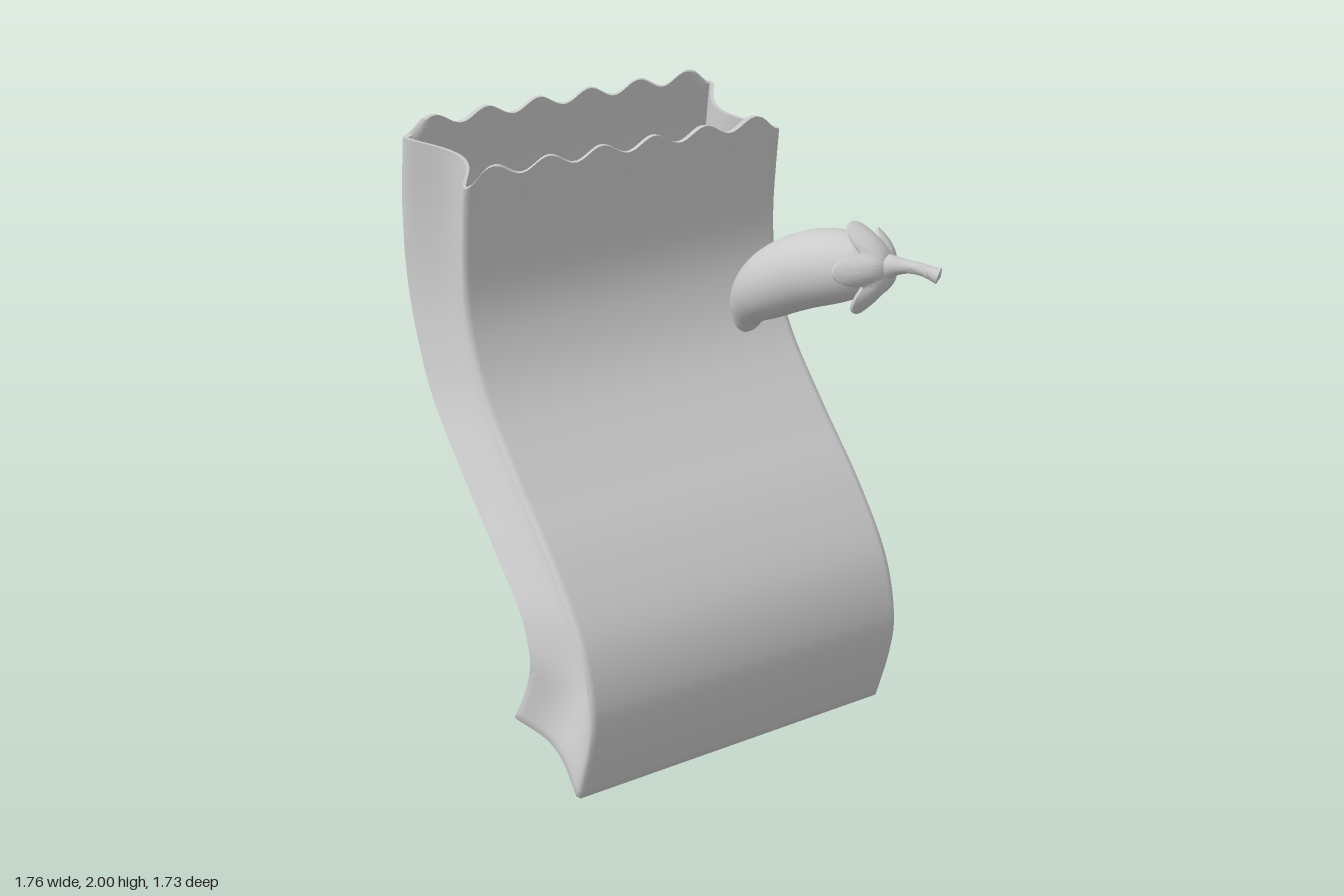
import * as THREE from 'three';
import { toCreasedNormals } from 'three/addons/utils/BufferGeometryUtils.js';

const V3 = (x, y, z) => new THREE.Vector3(x, y, z);
const spline2 = (pts) => new THREE.SplineCurve(pts.map(([x, y]) => new THREE.Vector2(x, y)));
const { smoothstep, clamp } = THREE.MathUtils;

// Skin over closed rings of equal size; rings run counterclockwise about the direction of travel
function skin(rings) {
  const n = rings[0].length, index = [];
  for (let r = 0; r < rings.length - 1; r++) {
    for (let c = 0; c < n; c++) {
      const a = r * n + c, b = r * n + (c + 1) % n;
      index.push(a, b, b + n, a, b + n, a + n);
    }
  }
  const geo = new THREE.BufferGeometry().setFromPoints(rings.flat());
  geo.setIndex(index);
  geo.computeVertexNormals();
  return geo;
}

// Round tube of varying radius along a curve
function sweep(points, radiusAt, steps, sides) {
  const curve = new THREE.CatmullRomCurve3(points);
  const { normals, binormals } = curve.computeFrenetFrames(steps);
  const rings = [];
  for (let i = 0; i <= steps; i++) {
    const p = curve.getPointAt(i / steps), r = Math.max(radiusAt(i / steps), 1e-4);
    rings.push(Array.from({ length: sides }, (_, j) => {
      const a = (j / sides) * Math.PI * 2;
      return p.clone().addScaledVector(normals[i], r * Math.cos(a)).addScaledVector(binormals[i], r * Math.sin(a));
    }));
  }
  return skin(rings);
}

// Bag side profiles from bottom to top: depth, height
const frontProfile = spline2([[0.487, 0.008], [0.545, 0.22], [0.556, 0.38], [0.487, 0.58], [0.324, 0.78],
  [0.109, 0.98], [-0.088, 1.18], [-0.196, 1.38], [-0.231, 1.58], [-0.22, 1.868]]);
const backProfile = spline2([[0.072, 0.1], [0.13, 0.21], [0.172, 0.33], [0.17, 0.41], [0.109, 0.53], [-0.051, 0.68],
  [-0.25, 0.86], [-0.45, 1.06], [-0.546, 1.23], [-0.615, 1.43], [-0.642, 1.68], [-0.628, 1.92]]);

// Turn bag coordinates (depth, height, across) to the model's, with a slight sideways lean
function place(s, y, t) {
  const lean = t + 0.032 * (y - 1.9) - 0.002;
  return V3(0.771 * s + 0.637 * lean, y - 0.032 * t, 0.637 * s - 0.771 * lean);
}

// One ring of the bag at height fraction v, pulled in by inset; squash 1 flattens it to the middle line
function bagRing(v, inset, squash = 0) {
  const f = frontProfile.getPointAt(v), b = backProfile.getPointAt(v);
  const half = 0.611 - inset, ring = [];
  const rim = smoothstep(v, 0.93, 1);
  const fold = 0.035 + 0.07 * smoothstep(v, 0, 0.2);
  const arch = 0.025 * (1 - smoothstep(v, 0, 0.08));
  // Point at depth fraction d, kept inside the folded sides
  const addPoint = (d, t, lift) => {
    const k = 0.5 + (d - 0.5) * (1 - inset / 0.21) * (1 - squash);
    const m = f.clone().lerp(b, k), bend = Math.sin(k * Math.PI), limit = half - fold * bend ** 1.3;
    ring.push(place(m.x, m.y + arch * bend + lift, clamp(t, -limit, limit)));
  };
  // Wide panel, scalloped at the rim and dipping at its ends
  const panel = (d, dir) => {
    for (let i = 0; i < 72; i++) {
      const k = i / 71, end = smoothstep(Math.min(k, 1 - k), 0, 0.06);
      const scallop = 0.018 * end + 0.02 * (1 - Math.cos(k * Math.PI * 12));
      addPoint(d, dir * (half - 0.01) * (2 * k - 1), rim * scallop);
    }
  };
  // Side folded inward, meeting the panels with a softened edge
  const gusset = (side) => {
    for (let i = 0; i < 16; i++) {
      const k = 0.025 + 0.95 * (i / 15);
      addPoint(side > 0 ? k : 1 - k, side * half, 0);
    }
  };
  panel(0, 1);
  gusset(1);
  panel(1, -1);
  gusset(-1);
  return ring;
}

function bagGeometry() {
  const steps = 64, outer = [], inner = [];
  for (let i = 0; i <= steps; i++) {
    const v = 0.008 + 0.992 * (i / steps);
    outer.push(bagRing(v, 0));
    inner.unshift(bagRing(v, 0.013));
  }
  // Arched floor, outside and inside
  const squashes = [0, 0.25, 0.5, 0.75, 1];
  const under = squashes.map((q) => bagRing(0, 0.012, q)).reverse();
  const floor = squashes.slice(1).map((q) => bagRing(0.01, 0.013, q));
  return toCreasedNormals(skin([...under, ...outer, ...inner, ...floor]), 1.1);
}

// Five-lobed cap with the lobes lying back along the fruit
function calyxGeometry(origin, axis) {
  const up = V3(0, 1, 0).addScaledVector(axis, -axis.y).normalize();
  const side = axis.clone().cross(up);
  const layer = (u, lift) => Array.from({ length: 100 }, (_, j) => {
    const a = (j / 100) * Math.PI * 2;
    const lobe = (0.5 + 0.5 * Math.cos(5 * (a - 0.17))) ** 0.6;
    const rho = 0.025 + (0.06 + 0.065 * lobe) * u + lift * 0.5;
    const drop = (0.055 + 0.055 * lobe) * u ** 1.7 - 0.025 - lift;
    return origin.clone().addScaledVector(axis, -drop)
      .addScaledVector(up, rho * Math.cos(a)).addScaledVector(side, rho * Math.sin(a));
  });
  const rings = [];
  for (let i = 0; i <= 10; i++) rings.push(layer(i / 10, 0));
  for (let i = 10; i >= 0; i--) rings.push(layer(i / 10, 0.01));
  return toCreasedNormals(skin(rings), 0.9);
}

export function createModel() {
  const model = new THREE.Group();
  const material = new THREE.MeshStandardMaterial({ color: 0xcccccc, side: THREE.DoubleSide });
  const add = (parent, name, geometry) => {
    const mesh = new THREE.Mesh(geometry, material);
    mesh.name = name;
    parent.add(mesh);
  };

  add(model, 'paperBag', bagGeometry());

  // Pepper floating beside the bag
  const pepper = new THREE.Group();
  pepper.name = 'pepper';
  model.add(pepper);

  const crown = V3(0.685, 1.622, -0.06);
  const radii = spline2([0.035, 0.053, 0.078, 0.1, 0.114, 0.121, 0.124, 0.124, 0.117, 0.1, 0.07].map((r, i) => [i / 10, r]));
  const dome = (d) => Math.sqrt(1 - (1 - Math.min(1, d)) ** 2);
  add(pepper, 'pepperBody', sweep(
    [V3(0.185, 1.25, -0.275), V3(0.23, 1.382, -0.222), V3(0.33, 1.49, -0.165), V3(0.45, 1.563, -0.122), V3(0.58, 1.603, -0.09), crown],
    (t) => radii.getPoint(t).y * dome(t / 0.08) * dome((1 - t) / 0.08), 60, 32));

  add(pepper, 'calyx', calyxGeometry(crown, V3(0.9, 0.19, 0.34).normalize()));

  const stemRadii = spline2([0.055, 0.036, 0.024, 0.02, 0.021, 0.027].map((r, i) => [i / 5, r]));
  add(pepper, 'stem', toCreasedNormals(sweep(
    [crown, V3(0.73, 1.635, -0.05), V3(0.8, 1.638, -0.045), V3(0.88, 1.62, -0.04)],
    (t) => (t === 1 ? 0 : stemRadii.getPoint(t).y), 30, 16), 0.9));

  return model;
}
